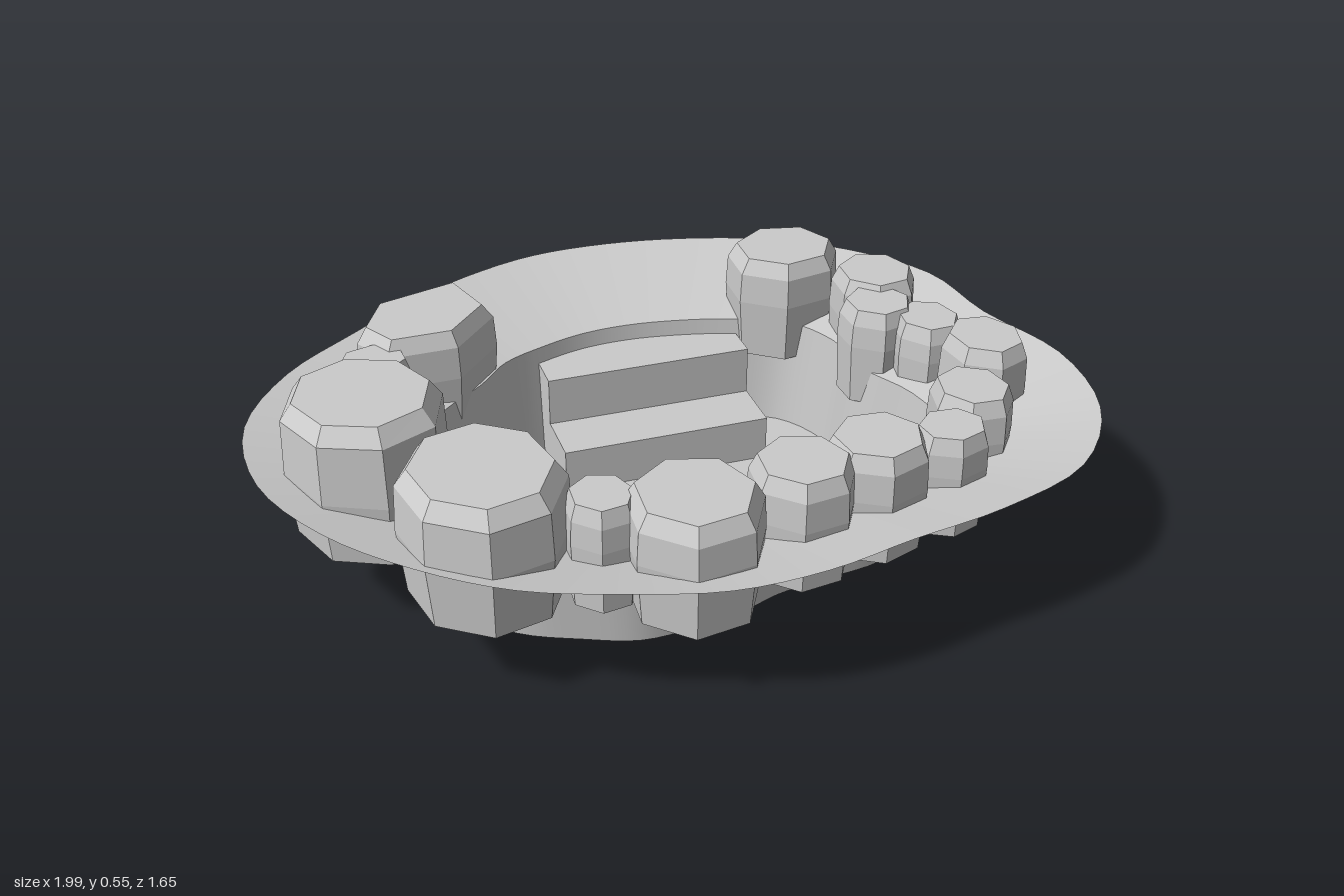
import * as THREE from 'three';

// Outline radii every 15 degrees, turning from +x towards +z
const BANK = [0.95, 1.03, 1.06, 1.02, 0.91, 0.83, 0.82, 0.825, 0.825, 0.86, 0.895, 0.945,
  0.99, 0.99, 0.923, 0.84, 0.81, 0.81, 0.825, 0.835, 0.86, 0.905, 0.95, 0.98];
const BASIN = [0.57, 0.64, 0.69, 0.6, 0.5, 0.455, 0.465, 0.485, 0.525, 0.55, 0.6, 0.635,
  0.635, 0.585, 0.52, 0.47, 0.475, 0.465, 0.47, 0.48, 0.5, 0.54, 0.6, 0.6];

// Smooth closed ring through the radii, at height y, pulled in by inset
function outline(radii, y, inset = 0) {
  const pts = radii.map((r, i) => {
    const a = (i / radii.length) * Math.PI * 2;
    return new THREE.Vector3(Math.cos(a) * (r - inset), y, Math.sin(a) * (r - inset));
  });
  const curve = new THREE.CatmullRomCurve3(pts, true, 'centripetal');
  return Array.from({ length: 96 }, (_, i) => curve.getPoint(i / 96));
}

// Joins rings of points, listed from bottom to top, with optional end caps
function loft(rings, capBottom = false, capTop = false) {
  const n = rings[0].length, pos = [], idx = [];
  rings.flat().forEach((p) => pos.push(p.x, p.y, p.z));
  for (let r = 0; r < rings.length - 1; r++) {
    for (let i = 0; i < n; i++) {
      const a = r * n + i, b = r * n + ((i + 1) % n);
      idx.push(a, a + n, b, b, a + n, b + n);
    }
  }
  const cap = (ring, start, up) => {
    const c = ring.reduce((s, p) => s.add(p), new THREE.Vector3()).divideScalar(n);
    const centre = pos.length / 3;
    pos.push(c.x, c.y, c.z);
    for (let i = 0; i < n; i++) {
      const a = start + i, b = start + ((i + 1) % n);
      idx.push(centre, up ? b : a, up ? a : b);
    }
  };
  if (capBottom) cap(rings[0], 0, false);
  if (capTop) cap(rings[rings.length - 1], (rings.length - 1) * n, true);
  const g = new THREE.BufferGeometry();
  g.setAttribute('position', new THREE.Float32BufferAttribute(pos, 3));
  g.setIndex(idx);
  g.computeVertexNormals();
  return g;
}

// Faceted rock: narrower foot, full waist, bevelled and slightly tilted top
function rockGeometry(corners, top, tilt = 0) {
  const cx = corners.reduce((s, c) => s + c[0], 0) / corners.length;
  const cz = corners.reduce((s, c) => s + c[1], 0) / corners.length;
  const levels = [[0.2, 0.92], [0.36, 1], [top - 0.04, 0.97], [top, 0.82]];
  const rings = levels.map(([y, s], level) => corners.map(([x, z]) =>
    new THREE.Vector3(cx + (x - cx) * s, y + (level > 1 ? (z - cz) * tilt : 0), cz + (z - cz) * s)));
  return loft(rings, true, true);
}

function ellipse(cx, cz, rx, rz, sides, turn) {
  return Array.from({ length: sides }, (_, i) => {
    const a = turn + (i / sides) * Math.PI * 2;
    return [cx + Math.cos(a) * rx, cz + Math.sin(a) * rz];
  });
}

export function createModel() {
  const model = new THREE.Group();
  const smooth = new THREE.MeshStandardMaterial({ color: 0xcccccc, side: THREE.DoubleSide });
  const faceted = new THREE.MeshStandardMaterial({ color: 0xcccccc, flatShading: true });
  const add = (name, geometry, material, parent = model) => {
    const mesh = new THREE.Mesh(geometry, material);
    mesh.name = name;
    parent.add(mesh);
    return mesh;
  };

  // Sloping bank and the hollow basin below it
  add('bank', loft([outline(BANK, 0.375), outline(BASIN, 0.293, -0.01)]), smooth);
  add('basinWall', loft([outline(BASIN, 0.293, -0.01), outline(BASIN, 0, 0.02)]), smooth);
  add('basinFloor', loft([outline(BASIN, 0, 0.02)], false, true), smooth);

  // Two steps at the back, reaching through the basin wall
  const steps = new THREE.Group();
  steps.name = 'steps';
  steps.position.set(0.145, 0, -0.485);
  steps.rotation.y = -0.127;
  model.add(steps);
  [['upperStep', 0.25, 0, 0.17], ['lowerStep', 0.12, 0.17, 0.322]].forEach(([name, h, z0, z1]) => {
    const step = add(name, new THREE.BoxGeometry(0.555, h, z1 - z0), faceted, steps);
    step.position.set(0, h / 2, (z0 + z1) / 2);
  });

  // Ring of rocks: centre x, centre z, radius x, radius z, sides, turn, top
  const rocks = new THREE.Group();
  rocks.name = 'rocks';
  model.add(rocks);
  [
    [-0.58, 0.34, 0.19, 0.21, 8, 0.3, 0.515],
    [-0.36, 0.47, 0.085, 0.09, 7, 0.2, 0.46],
    [-0.19, 0.575, 0.16, 0.165, 7, 0.2, 0.48],
    [0.08, 0.56, 0.125, 0.125, 7, 0.22, 0.475],
    [0.28, 0.545, 0.125, 0.12, 7, 0, 0.475],
    [0.47, 0.555, 0.095, 0.085, 7, 0, 0.457],
    [0.6, 0.445, 0.1, 0.11, 7, 0.4, 0.47],
    [0.76, 0.265, 0.105, 0.118, 7, 0, 0.48],
    [0.72, 0.075, 0.09, 0.1, 7, 0.3, 0.45],
    [0.64, -0.035, 0.1, 0.1, 7, 0.1, 0.46],
    [0.71, -0.165, 0.115, 0.12, 7, 0.2, 0.475],
    [0.56, -0.39, 0.16, 0.145, 7, 0.15, 0.48],
    [-0.625, -0.295, 0.1, 0.085, 7, 0.5, 0.46],
  ].forEach(([x, z, rx, rz, sides, turn, top]) =>
    add('rock', rockGeometry(ellipse(x, z, rx, rz, sides, turn), top), faceted, rocks));

  // Tall tilted rock and wedge-shaped rock on the right
  add('tallRock', rockGeometry(ellipse(-0.73, -0.02, 0.19, 0.22, 8, 0.1), 0.54, 0.05), faceted, rocks);
  add('wedgeRock', rockGeometry([[-0.27, -0.4], [-0.41, -0.28], [-0.59, -0.3], [-0.635, -0.41],
    [-0.55, -0.54], [-0.3, -0.58]], 0.485), faceted, rocks);

  return model;
}
